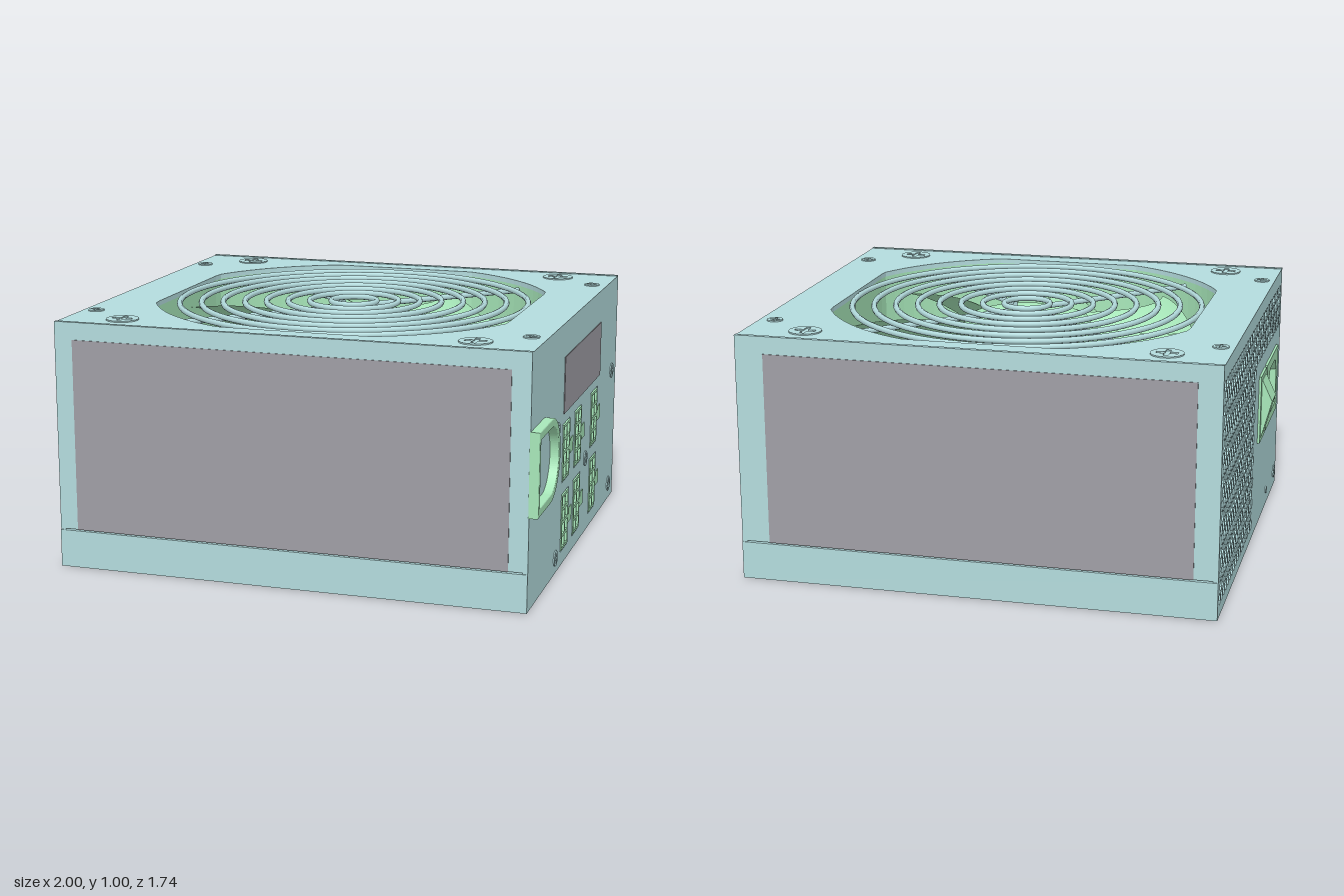
import * as THREE from 'three';

const mat = (color, side = THREE.FrontSide) => new THREE.MeshStandardMaterial({ color, side });
const STEEL = mat(0xb4dcde), GREEN = mat(0xa8e8ba), BLADE = mat(0xa8e8ba, THREE.DoubleSide);
const PINK = mat(0xd4abab), LABEL = mat(0xa09fa6);

function add(parent, name, geo, material, x = 0, y = 0, z = 0) {
  const m = new THREE.Mesh(geo, material);
  m.name = name;
  m.position.set(x, y, z);
  parent.add(m);
  return m;
}
// box given by its limits
const block = (parent, name, material, x0, x1, y0, y1, z0, z1) =>
  add(parent, name, new THREE.BoxGeometry(x1 - x0, y1 - y0, z1 - z0), material, (x0 + x1) / 2, (y0 + y1) / 2, (z0 + z1) / 2);

const poly = pts => new THREE.Shape(pts.map(p => new THREE.Vector2(p[0], p[1])));
const rect = (x0, x1, y0, y1) => poly([[x0, y0], [x1, y0], [x1, y1], [x0, y1]]);
const disc = (x, y, r, n) => poly(Array.from({ length: n }, (_, i) => {
  const a = i / n * Math.PI * 2;
  return [x + r * Math.cos(a), y + r * Math.sin(a)];
}));
// plate from z0 to z1 with holes
function plate(parent, name, material, shape, holes, z0, z1) {
  shape.holes = holes;
  return add(parent, name, new THREE.ExtrudeGeometry(shape, { depth: z1 - z0, bevelEnabled: false, curveSegments: 24 }), material, 0, 0, z0);
}
// screw head with a cross recess
function screw(parent, x, y, r) {
  const a = r * 0.15, b = r * 0.65;
  const cross = poly([[-a, -b], [a, -b], [a, -a], [b, -a], [b, a], [a, a], [a, b], [-a, b], [-a, a], [-b, a], [-b, -a], [-a, -a]]);
  plate(parent, 'screw', STEEL, disc(0, 0, r, 24), [cross], 0, 0.005).position.set(x, y, 0);
}
// circular outline cut flat on four sides
const fanOutline = s => poly(Array.from({ length: 96 }, (_, i) => {
  const a = i / 96 * Math.PI * 2, c = THREE.MathUtils.clamp;
  return [0.01 + s * c(0.82 * Math.cos(a), -0.74, 0.74), s * c(0.82 * Math.sin(a), -0.76, 0.76)];
}));

function buildShell(g) {
  block(g, 'trayFloor', STEEL, -0.945, 0.965, 0, 0.02, -0.865, 0.865);
  for (const s of [-1, 1]) {
    const slab = (name, m, x0, x1, y0, y1, zIn, zOut) =>
      block(g, name, m, x0, x1, y0, y1, Math.min(s * zIn, s * zOut), Math.max(s * zIn, s * zOut));
    slab('trayLip', STEEL, -0.945, 0.965, 0, 0.152, 0.845, 0.868);
    slab('coverWall', STEEL, -0.945, 0.965, 0.157, 1, 0.845, 0.864);
    slab('sideLabel', LABEL, s > 0 ? -0.87 : -0.85, s > 0 ? 0.89 : 0.85, 0.157, 0.93, 0.864, 0.867);
  }
  // circuit board and components inside
  block(g, 'circuitBoard', PINK, -0.9, 0.93, 0.06, 0.09, -0.83, 0.83);
  for (const [x, z, w, d, h] of [[-0.43, -0.5, 0.14, 0.2, 0.3], [-0.62, -0.1, 0.16, 0.24, 0.25],
    [-0.64, 0.5, 0.12, 0.2, 0.3], [-0.4, 0.55, 0.2, 0.2, 0.22], [0.34, 0.64, 0.2, 0.2, 0.28], [0.6, -0.45, 0.16, 0.3, 0.25]])
    block(g, 'component', PINK, x - w / 2, x + w / 2, 0.09, 0.09 + h, z - d / 2, z + d / 2);
}

function buildTop(g) {
  const top = new THREE.Group();
  top.name = 'topCover';
  top.rotation.x = -Math.PI / 2;
  top.position.y = 0.997;
  g.add(top);
  plate(top, 'topPanel', STEEL, rect(-0.945, 0.965, -0.864, 0.864), [fanOutline(1)], -0.02, 0);
  plate(top, 'fanFrame', GREEN, fanOutline(1.06), [fanOutline(1.001)], -0.38, -0.02);
  for (const s of [-1, 1]) for (const t of [-1, 1]) {
    screw(top, 0.005 + s * 0.715, t * 0.735, 0.065);
    screw(top, 0.005 + s * 0.895, t * 0.59, 0.032);
  }
  // wire guard: rings on four diagonal spokes
  const guard = new THREE.Group();
  guard.name = 'fanGuard';
  guard.position.set(0.01, 0.005, -0.015);
  top.add(guard);
  for (let i = 0; i < 8; i++)
    add(guard, 'guardRing', new THREE.TorusGeometry(0.725 - 0.09 * i, 0.012, 8, 72), STEEL);
  for (let i = 0; i < 4; i++) {
    const a = Math.PI / 4 + i * Math.PI / 2;
    const m = add(guard, 'guardSpoke', new THREE.CylinderGeometry(0.012, 0.012, 0.71, 8), STEEL,
      0.45 * Math.cos(a), 0.45 * Math.sin(a), -0.022);
    m.rotation.z = a - Math.PI / 2;
  }
}

function buildFan(g) {
  const fan = new THREE.Group();
  fan.name = 'fan';
  fan.position.x = 0.01;
  g.add(fan);
  const hub = [[0, 0.62], [0.26, 0.62], [0.27, 0.64], [0.27, 0.89], [0.255, 0.92], [0.23, 0.93], [0.2, 0.925], [0.175, 0.9], [0, 0.9]];
  add(fan, 'hub', new THREE.LatheGeometry(hub.map(p => new THREE.Vector2(...p)), 48), GREEN);
  add(fan, 'hubLabel', new THREE.CylinderGeometry(0.165, 0.165, 0.006, 40), LABEL, 0, 0.903, 0);
  // cambered, swept blade bent from a flat grid
  const blade = new THREE.PlaneGeometry(1, 1, 14, 12), p = blade.attributes.position;
  for (let i = 0; i < p.count; i++) {
    const u = p.getX(i) + 0.5, v = p.getY(i) + 0.5, r = 0.25 + 0.49 * u;
    const lead = 18 - 27 * u + 34 * u * u, trail = -26 + 13 * u;
    const a = THREE.MathUtils.degToRad(lead + (trail - lead) * v);
    p.setXYZ(i, r * Math.cos(a), 0.91 - 0.27 * Math.pow(v, 1.6), -r * Math.sin(a));
  }
  blade.computeVertexNormals();
  for (let i = 0; i < 7; i++)
    add(fan, 'fanBlade', blade, BLADE).rotation.y = i / 7 * Math.PI * 2;
}

// +x side: modular sockets, label and handle (local x runs towards -z)
function buildSocketSide(g) {
  const side = new THREE.Group();
  side.name = 'socketSide';
  side.rotation.y = Math.PI / 2;
  side.position.x = 0.965;
  g.add(side);
  const openings = [];
  for (const h of [-0.205, 0.03, 0.37]) for (const y of [0.178, 0.468]) {
    openings.push(rect(h - 0.068, h + 0.068, y - 0.12, y + 0.12));
    const cells = [];
    for (let i = 0; i < 2; i++) for (let j = 0; j < 4; j++) {
      const cx = h + (i - 0.5) * 0.056, cy = y + (j - 1.5) * 0.055;
      cells.push(rect(cx - 0.022, cx + 0.022, cy - 0.021, cy + 0.021));
    }
    plate(side, 'socket', GREEN, rect(h - 0.062, h + 0.062, y - 0.114, y + 0.114), cells, -0.06, 0.003);
    block(side, 'socketBack', GREEN, h - 0.068, h + 0.068, y - 0.12, y + 0.12, -0.07, -0.06);
    block(side, 'socketLatch', GREEN, h + 0.062, h + 0.125, y - 0.03, y + 0.03, -0.01, 0.004);
  }
  plate(side, 'socketPanel', STEEL, rect(-0.864, 0.864, 0, 0.997), openings, -0.02, 0);
  block(side, 'socketLabel', LABEL, -0.27, 0.48, 0.63, 0.86, 0, 0.003);
  for (const [h, y] of [[0.76, 0.59], [0.76, 0.07], [-0.37, 0.065], [-0.38, 0.59], [0.2, 0.33]]) screw(side, h, y, 0.032);

  const dShape = (left, r) => {
    const s = new THREE.Shape();
    s.moveTo(left, 0.535 - r);
    s.lineTo(-0.645, 0.535 - r);
    s.absarc(-0.645, 0.535, r, -Math.PI / 2, Math.PI / 2, false);
    s.lineTo(left, 0.535 + r);
    s.closePath();
    return s;
  };
  const d = dShape(-0.86, 0.16);
  d.holes = [dShape(-0.842, 0.135)];
  add(side, 'cableGrommet', new THREE.ExtrudeGeometry(d, { depth: 0.03, bevelThickness: 0.005, bevelSize: 0.005, bevelSegments: 3, curveSegments: 24 }), GREEN);
}

// -x side: vent, mains inlet and switch (local x runs towards +z)
function buildVentSide(g) {
  const side = new THREE.Group();
  side.name = 'ventSide';
  side.rotation.y = -Math.PI / 2;
  side.position.x = -0.945;
  g.add(side);
  // honeycomb, leaving room for inlet and switch
  const holes = [], pitch = 0.054;
  for (let j = 0; j < 19; j++) for (let i = 0; i < 31; i++) {
    const h = -0.82 + (i + (j % 2) / 2) * pitch, y = 0.07 + j * pitch * 0.866;
    if (h > 0.83 || (h > 0.06 && y < 0.77)) continue;
    holes.push(poly(Array.from({ length: 6 }, (_, k) => {
      const a = (k + 0.5) * Math.PI / 3;
      return [h + 0.024 * Math.cos(a), y + 0.024 * Math.sin(a)];
    })));
  }
  holes.push(rect(0.38, 0.72, 0.41, 0.66));
  plate(side, 'ventPanel', STEEL, rect(-0.864, 0.864, 0, 0.997), holes, -0.02, 0);

  const inlet = poly([[0.42, 0.43], [0.68, 0.43], [0.68, 0.58], [0.63, 0.64], [0.47, 0.64], [0.42, 0.58]]);
  plate(side, 'inletFlange', GREEN, rect(0.365, 0.735, 0.39, 0.68), [inlet], 0, 0.01);
  plate(side, 'inletWell', GREEN, rect(0.385, 0.715, 0.415, 0.655), [inlet], -0.15, 0);
  block(side, 'inletBack', GREEN, 0.385, 0.715, 0.415, 0.655, -0.16, -0.15);
  for (const [h, y] of [[0.475, 0.51], [0.55, 0.56], [0.625, 0.51]])
    block(side, 'inletPin', GREEN, h - 0.01, h + 0.01, y - 0.03, y + 0.03, -0.15, -0.04);

  block(side, 'switchFrame', GREEN, 0.17, 0.335, 0.39, 0.68, 0, 0.01);
  const rocker = new THREE.ExtrudeGeometry(poly([[0, 0.41], [0.012, 0.41], [0.055, 0.57], [0.012, 0.66], [0, 0.66]]), { depth: 0.12, bevelEnabled: false });
  // turn the profile so that it points outwards
  add(side, 'switchRocker', rocker, GREEN, 0.193, 0, 0).rotation.y = -Math.PI / 2;
  side.children.at(-1).position.x = 0.313;
  screw(side, 0.79, 0.07, 0.028);
  screw(side, 0.52, 0.07, 0.015);
}

export function createModel() {
  const g = new THREE.Group();
  g.name = 'powerSupply';
  buildShell(g);
  buildTop(g);
  buildFan(g);
  buildSocketSide(g);
  buildVentSide(g);
  return g;
}
